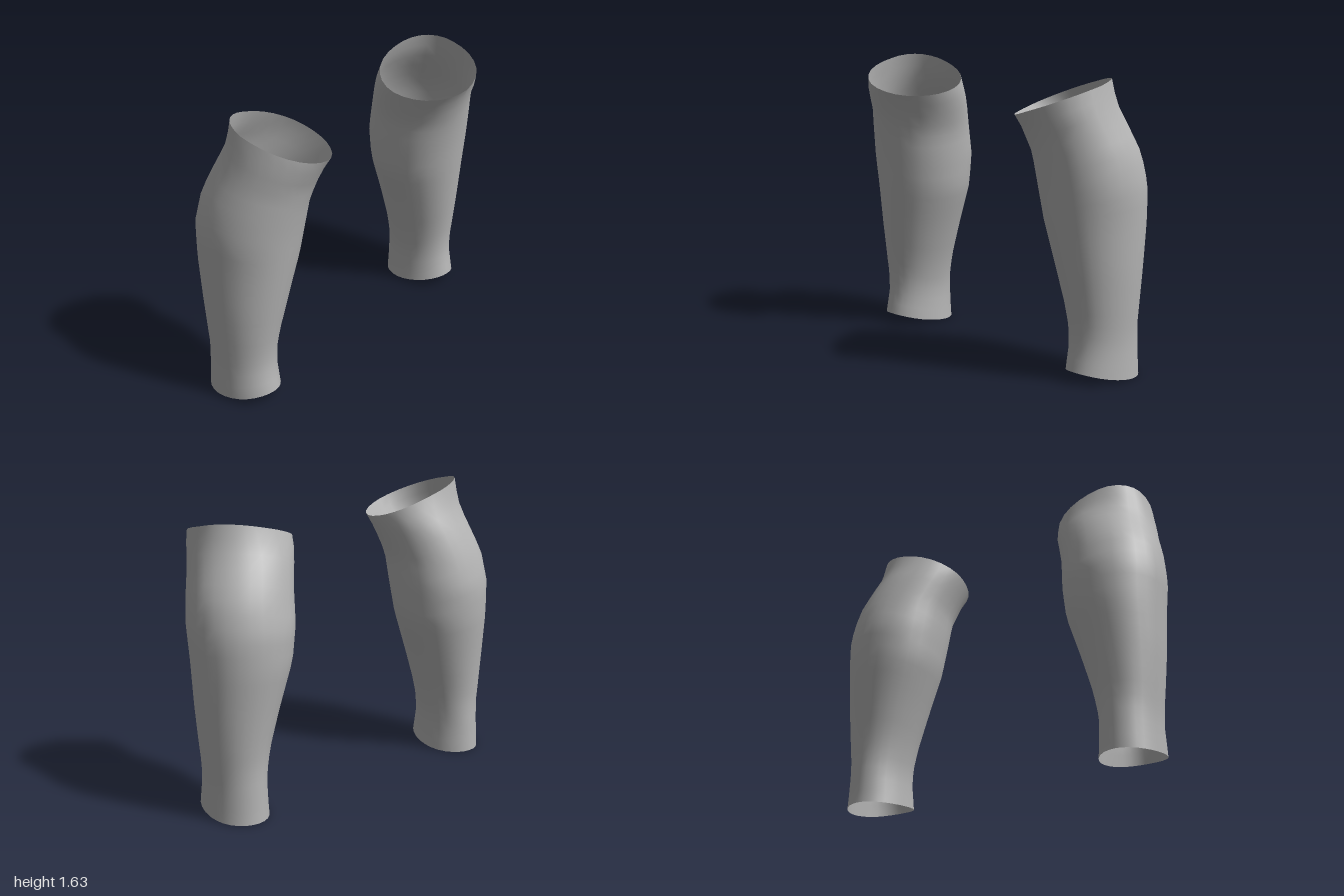
import * as THREE from 'three';

// Side lines of a sleeve: height, inner x, outer x, front z, back z
const PROFILE = [
  [0.00, 0.625, 0.955, 0.155, -0.295],
  [0.07, 0.630, 0.953, 0.145, -0.290],
  [0.20, 0.636, 0.948, 0.120, -0.285],
  [0.30, 0.622, 0.955, 0.120, -0.280],
  [0.42, 0.594, 0.966, 0.136, -0.290],
  [0.60, 0.540, 0.980, 0.165, -0.312],
  [0.85, 0.458, 0.990, 0.203, -0.347],
  [1.04, 0.432, 1.000, 0.230, -0.352],
  [1.21, 0.417, 0.976, 0.260, -0.312],
  [1.35, 0.372, 0.930, 0.295, -0.262],
  [1.43, 0.343, 0.908, 0.340, -0.225],
  [1.48, 0.340, 0.895, 0.350, -0.198],
  [1.57, 0.340, 0.878, 0.350, -0.168],
  [1.63, 0.340, 0.865, 0.350, -0.160],
];

// Centre line: height, x, z
const CENTRE = [
  [0.00, 0.790, -0.080],
  [0.40, 0.780, -0.080],
  [0.85, 0.725, -0.080],
  [1.20, 0.690, -0.050],
  [1.45, 0.615, 0.050],
  [1.63, 0.630, 0.050],
];

// Values of a table at height y
function sample(table, y) {
  let i = 0;
  while (i < table.length - 2 && y > table[i + 1][0]) i++;
  const a = table[i], b = table[i + 1];
  const t = THREE.MathUtils.clamp((y - a[0]) / (b[0] - a[0]), 0, 1);
  return a.slice(1).map((v, k) => THREE.MathUtils.lerp(v, b[k + 1], t));
}

// Open tube with slanted rims; side is +1 or -1 in x
function sleeveGeometry(side, rimHeight, rimSlope) {
  const rings = 22, segments = 28;
  const position = [], index = [];
  for (let r = 0; r <= rings; r++) {
    for (let s = 0; s < segments; s++) {
      const angle = (s / segments) * Math.PI * 2;
      const c = Math.cos(angle), n = Math.sin(angle);
      // Height runs from the curved ankle rim to the tilted knee rim
      const low = 0.02 + 0.031 * n + 0.019 * n * n;
      const high = rimHeight + rimSlope * c - 0.064 * n;
      const y = THREE.MathUtils.lerp(low, high, r / rings);
      const [inner, outer, front, back] = sample(PROFILE, y);
      const [cx, cz] = sample(CENTRE, y);
      const x = cx + c * (c > 0 ? outer - cx : cx - inner);
      const z = cz + n * (n > 0 ? front - cz : cz - back);
      position.push(side * x, y, z);
    }
  }
  for (let r = 0; r < rings; r++) {
    for (let s = 0; s < segments; s++) {
      const a = r * segments + s, b = r * segments + (s + 1) % segments;
      const d = a + segments, e = b + segments;
      if (side > 0) index.push(a, d, b, b, d, e);
      else index.push(a, b, d, b, e, d);
    }
  }
  const geometry = new THREE.BufferGeometry();
  geometry.setAttribute('position', new THREE.Float32BufferAttribute(position, 3));
  geometry.setIndex(index);
  geometry.computeVertexNormals();
  return geometry;
}

export function createModel() {
  const group = new THREE.Group();
  group.name = 'calfSleeves';
  const fabric = new THREE.MeshStandardMaterial({ color: 0xb4b4b4, side: THREE.DoubleSide });
  fabric.name = 'greyFabric';

  const left = new THREE.Mesh(sleeveGeometry(1, 1.495, 0.07), fabric);
  left.name = 'leftSleeve';
  const right = new THREE.Mesh(sleeveGeometry(-1, 1.53, 0.08), fabric);
  right.name = 'rightSleeve';
  group.add(left, right);
  return group;
}
